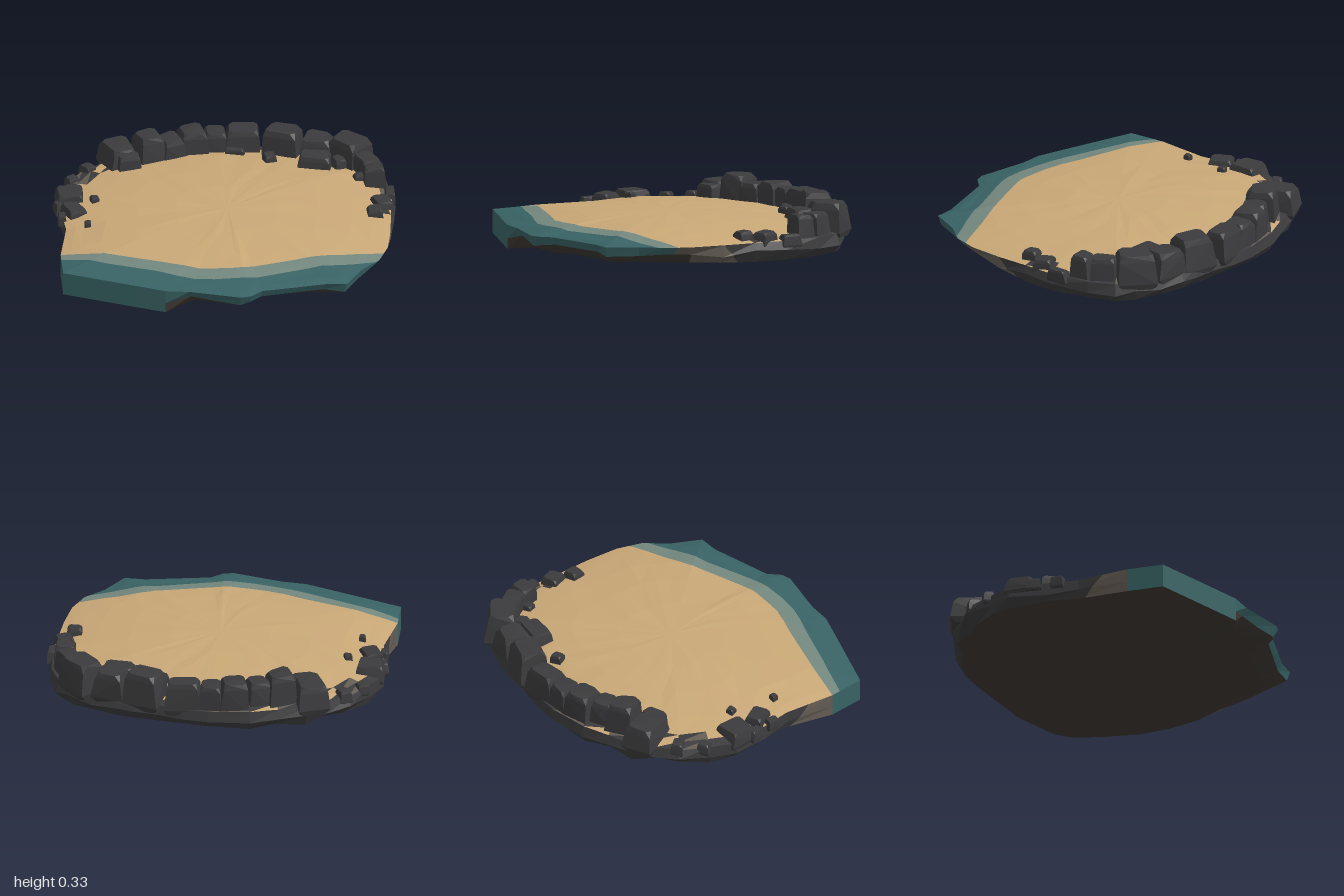
import * as THREE from 'three';
import { ConvexGeometry } from 'three/addons/geometries/ConvexGeometry.js';

const colours = {
  sand: 0xc9a877, wetSand: 0x74887f, water: 0x396365,
  rock: 0x3b3b3d, paleRock: 0x645d54, underside: 0x3d3832,
};

// Plan outline as [x, z], from the front left corner round the back
const outline = [
  [-1, .58], [-1, .36], [-.97, .05], [-.985, -.15], [-1, -.38], [-.92, -.52], [-.82, -.68],
  [-.7, -.76], [-.58, -.85], [-.42, -.89], [-.25, -.94], [0, -.96], [.15, -.94], [.3, -.89],
  [.45, -.87], [.55, -.84], [.7, -.77], [.84, -.7], [.92, -.61], [.98, -.45], [1, -.2],
  [.98, 0], [.94, .2], [.91, .4], [.85, .55], [.74, .66], [.64, .83], [.52, .82], [.14, .88],
  [.07, .94], [.01, .95], [-.15, .9], [-.28, .86], [-.42, .84], [-.6, .76],
];
// Shore lines: z where the wet sand and the water start, by x
const wetLine = [[-1, .36], [-.6, .47], [-.4, .57], [-.2, .65], [0, .67], [.25, .64], [.4, .58], [.6, .53], [1, .45]];
const waterLine = [[-1, .42], [-.65, .55], [-.4, .68], [-.2, .76], [0, .77], [.25, .75], [.4, .68], [.6, .64], [.8, .58], [1, .53]];

function along(line, x) {
  for (let i = 1; i < line.length; i++) {
    const [a, za] = line[i - 1], [b, zb] = line[i];
    if (x <= b) return za + (zb - za) * (x - a) / (b - a);
  }
  return line[line.length - 1][1];
}

let seed = 7;
const rnd = () => (seed = (seed * 16807) % 2147483647) / 2147483647;
const jitter = (s) => (rnd() - .5) * 2 * s;

// Cuts a polygon where f changes sign: [part below zero, part above zero]
function split(poly, f) {
  const low = [], high = [];
  poly.forEach((p, i) => {
    const q = poly[(i + 1) % poly.length], a = f(p), b = f(q);
    (a < 0 ? low : high).push(p);
    if ((a < 0) !== (b < 0)) {
      const m = p.clone().lerp(q, a / (a - b));
      low.push(m);
      high.push(m);
    }
  });
  return [low, high];
}

// Rock with cut corners, slightly narrower at the top
function rockGeometry(w, h, d) {
  const pts = [];
  const c = Math.min(w, h, d) * .2;
  for (const x of [-1, 1]) for (const y of [-1, 1]) for (const z of [-1, 1]) {
    const k = y > 0 ? .9 : 1.04;
    const p = new THREE.Vector3(x * w / 2 * k + jitter(w * .05), y * h / 2 + jitter(h * .03), z * d / 2 * k + jitter(d * .05));
    pts.push(p.clone().add(new THREE.Vector3(-x * c, 0, -z * c * .3)));
    pts.push(p.clone().add(new THREE.Vector3(0, -y * c, 0)));
    pts.push(p.clone().add(new THREE.Vector3(-x * c * .3, 0, -z * c)));
  }
  return new ConvexGeometry(pts);
}

export function createModel() {
  seed = 7;
  const model = new THREE.Group();
  const mats = {}, tris = {};
  for (const name in colours) {
    mats[name] = new THREE.MeshStandardMaterial({ color: colours[name] });
    mats[name].name = name;
    tris[name] = [];
  }

  const emit = (name, poly) => {
    for (let i = 2; i < poly.length; i++)
      for (const p of [poly[0], poly[i - 1], poly[i]]) tris[name].push(p.x, p.y, p.z);
  };
  // Ground triangle, divided at the shore lines
  const ground = (tri, dry) => {
    const [dryPart, rest] = split(tri, (p) => p.z - along(wetLine, p.x));
    const [wet, sea] = split(rest, (p) => p.z - along(waterLine, p.x));
    emit(dry, dryPart);
    emit('wetSand', wet);
    emit('water', sea);
  };
  // Cliff triangle: sea in front, then pale stone, then dark rock
  const cliff = (tri) => {
    const [dry, sea] = split(tri, (p) => p.z - along(wetLine, p.x));
    const [back, pale] = split(dry, (p) => p.z - .14 - (p.y - .08));
    emit('water', sea);
    emit('paleRock', pale);
    emit('rock', back);
  };
  const band = (a, b, put) => {
    for (let i = 0; i < a.length; i++) {
      const j = (i + 1) % a.length;
      put([a[i], a[j], b[j]], i);
      put([a[i], b[j], b[i]], i);
    }
  };

  // Top surface: low dome in rings
  const isBlock = (x, z) => z > .3 && x < -.41;
  const rings = [0, .3, .55, .75, .88, .94, 1].map((t) => outline.map(([x, z]) => {
    const s = t * (z < .1 ? .975 : 1);
    const bump = t > 0 && t < 1 ? jitter(.003) : 0;
    return new THREE.Vector3(x * s, .14 + .08 * (1 - t ** 2.5) + bump, z * s);
  }));
  for (let r = 1; r < rings.length; r++) {
    band(rings[r - 1], rings[r], (tri, i) => {
      let dry = 'sand';
      if (r > 4 && outline[i][1] < -.1) {
        const v = rnd();
        if (r === 6) dry = v < .6 ? 'rock' : v < .88 ? 'paleRock' : 'sand';
        else dry = v < .25 ? 'rock' : v < .45 ? 'paleRock' : 'sand';
      }
      ground(tri, dry);
    });
  }

  // Cliff: bulging at the back, overhanging in front, straight at the front left block
  const mid = outline.map(([x, z]) => {
    const block = isBlock(x, z);
    const s = block ? 1 : z > .3 ? .975 + jitter(.015) : .99 + jitter(.01);
    return new THREE.Vector3(x * s, block ? .06 : .08 + jitter(.02), z * s);
  });
  const base = outline.map(([x, z]) => {
    const block = isBlock(x, z);
    const s = block ? 1 : z > .3 ? .86 + jitter(.03) : .95 + jitter(.02);
    return new THREE.Vector3(x * s, block ? 0 : .028 + jitter(.006), z * s);
  });
  band(rings[rings.length - 1], mid, cliff);
  band(mid, base, (tri, i) => {
    const [x, z] = outline[i];
    if (z > .3 && !isBlock(x, z)) emit('underside', tri);
    else cliff(tri);
  });

  // Underside fan
  const centre = new THREE.Vector3(0, .02, 0);
  base.forEach((p, i) => emit('underside', [centre, p, base[(i + 1) % base.length]]));

  const partNames = {
    sand: 'sandGround', wetSand: 'wetShore', water: 'waterEdge',
    rock: 'darkCliff', paleRock: 'paleCliff', underside: 'underside',
  };
  for (const name in tris) {
    const geo = new THREE.BufferGeometry();
    geo.setAttribute('position', new THREE.Float32BufferAttribute(tris[name], 3));
    geo.computeVertexNormals();
    const mesh = new THREE.Mesh(geo, mats[name]);
    mesh.name = partNames[name];
    model.add(mesh);
  }

  // Rocks as [x, z, width, depth, turn, top]
  const addRocks = (groupName, partName, bottom, list) => {
    const group = new THREE.Group();
    group.name = groupName;
    for (const [x, z, w, d, turn, top] of list) {
      const mesh = new THREE.Mesh(rockGeometry(w, top - bottom, d), mats.rock);
      mesh.position.set(x, (top + bottom) / 2, z);
      mesh.rotation.y = turn;
      mesh.name = partName;
      group.add(mesh);
    }
    model.add(group);
  };
  addRocks('rockWall', 'wallRock', .1, [
    [-.58, -.73, .18, .22, .3, .27], [-.41, -.745, .16, .17, .35, .32], [-.28, -.775, .14, .15, .4, .285],
    [-.15, -.83, .16, .17, .15, .3], [-.01, -.845, .13, .15, 0, .28], [.15, -.845, .2, .15, 0, .29],
    [.38, -.78, .21, .17, -.35, .31], [.58, -.72, .18, .17, -.3, .28], [.76, -.64, .22, .18, -.85, .305],
    [.85, -.48, .15, .12, -1.1, .27], [.885, -.36, .13, .11, .1, .27],
  ]);
  addRocks('looseRocks', 'looseRock', .1, [
    [.55, -.57, .2, .13, -.2, .25], [-.53, -.62, .14, .09, .2, .25], [.69, -.55, .08, .08, .4, .23],
    [-.9, -.31, .16, .17, 0, .198], [-.89, -.13, .11, .14, .4, .195], [-.96, -.08, .05, .08, 0, .17],
    [-.97, -.22, .05, .09, .2, .17], [-.76, -.22, .05, .05, .3, .205], [-.82, .06, .04, .04, 0, .195],
    [-.87, -.53, .07, .07, .5, .17], [-.77, -.65, .07, .08, .6, .18], [.29, -.63, .07, .07, .4, .225],
    [.91, -.1, .1, .12, .3, .195], [.86, .02, .09, .09, .1, .2], [.965, -.24, .06, .12, 0, .175],
    [.1, -.75, .12, .05, -.2, .2], [.8, -.4, .07, .06, .3, .2],
  ]);
  return model;
}
